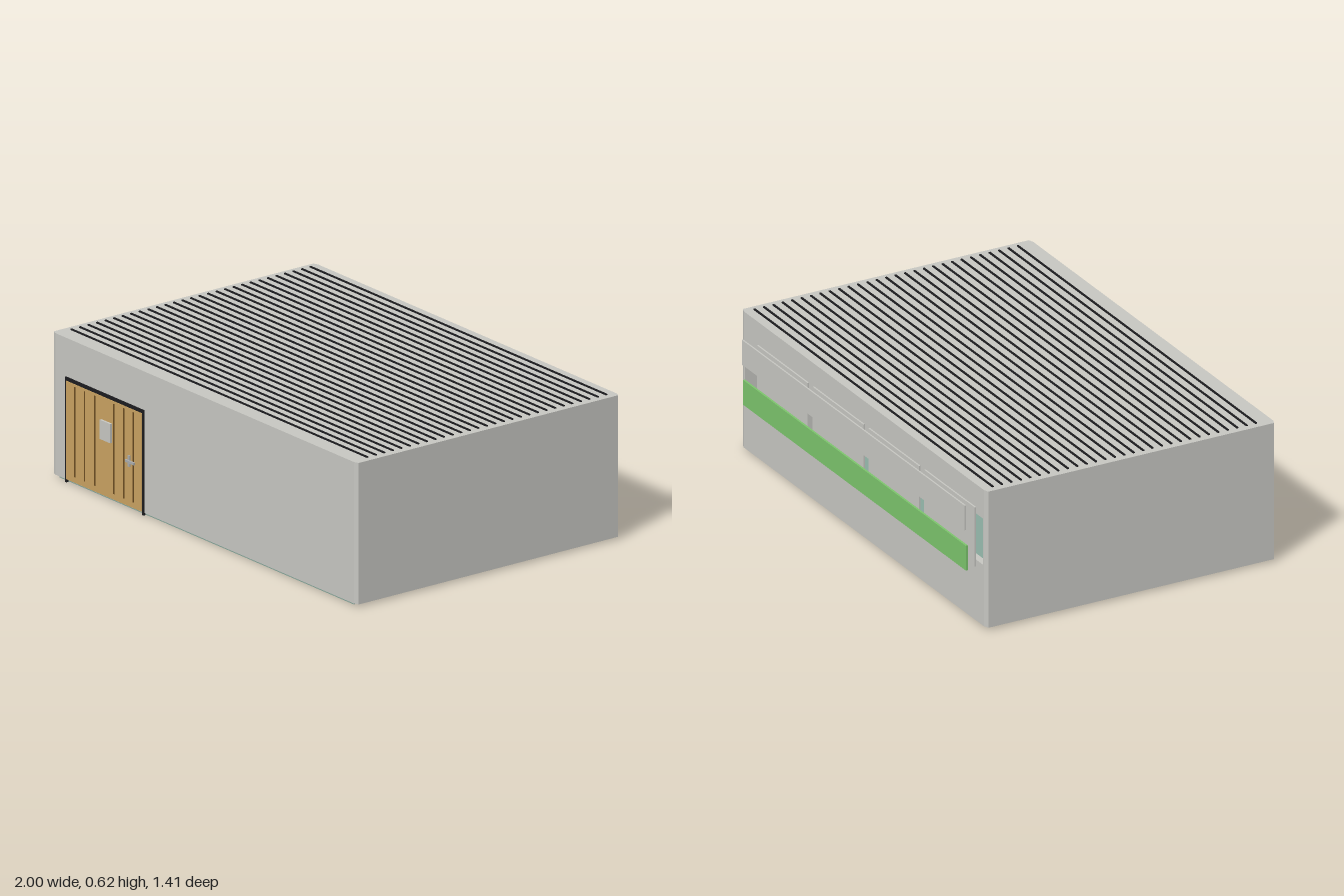
import * as THREE from 'three';

const material = (name, color) => {
  const m = new THREE.MeshStandardMaterial({ color });
  m.name = name;
  return m;
};

export function createModel() {
  const model = new THREE.Group();
  model.name = 'building';
  const wallGrey = material('wall grey', 0xc6c6c1);
  const black = material('black trim', 0x1c1c1f);
  const wood = material('door wood', 0xc8a160);
  const darkWood = material('dark wood', 0x6b4c22);
  const green = material('green', 0x7cc46c);
  const metal = material('metal grey', 0xa9abac);
  const floorGreen = material('floor green', 0x86a69a);

  const add = (name, geometry, mat, parent = model) => {
    const mesh = new THREE.Mesh(geometry, mat);
    mesh.name = name;
    parent.add(mesh);
    return mesh;
  };
  // Box given by its extents on each axis
  const box = (name, mat, [x0, x1], [y0, y1], [z0, z1], parent) => {
    const mesh = add(name, new THREE.BoxGeometry(x1 - x0, y1 - y0, z1 - z0), mat, parent);
    mesh.position.set((x0 + x1) / 2, (y0 + y1) / 2, (z0 + z1) / 2);
    return mesh;
  };

  // Plan outlines as [x, z]; outer corners are slightly chamfered
  const front = 0.685, back = -0.655, wall = 0.03, inX = 1 - wall;
  const inFront = front - wall, inBack = back + wall;
  const cx = 0.978, cz = 0.008;
  const points = (list) => list.map(([x, z]) => new THREE.Vector2(x, -z));
  const outer = [[-cx, front], [cx, front], [1, front - cz], [1, back + cz],
    [cx, back], [-cx, back], [-1, back + cz], [-1, front - cz]];
  const inner = [[-inX, inFront], [inX, inFront], [inX, inBack], [-inX, inBack]];
  const band = (name, outline, hole, y0, y1) => {
    const shape = new THREE.Shape(points(outline));
    if (hole) shape.holes.push(new THREE.Path(points(hole)));
    const geometry = new THREE.ExtrudeGeometry(shape, { depth: y1 - y0, bevelEnabled: false });
    geometry.rotateX(-Math.PI / 2).translate(0, y0, 0);
    add(name, geometry, wallGrey);
  };

  // Hollow shell with one long opening across the back
  const sill = 0.28, head = 0.485;
  const openBack = [[-cx, front], [cx, front], [1, front - cz], [1, back + cz], [cx, back], [inX, back],
    [inX, inFront], [-inX, inFront], [-inX, back], [-cx, back], [-1, back + cz], [-1, front - cz]];
  band('lowerWalls', outer, inner, 0.01, sill);
  band('middleWalls', openBack, null, sill, head);
  band('upperWalls', outer, inner, head, 0.59);
  band('roof', outer, null, 0.59, 0.615);
  box('floor', floorGreen, [-0.965, 0.965], [0, 0.02], [-0.64, 0.675]);

  // Roof ribs
  const ribs = new THREE.Group();
  ribs.name = 'roofRibs';
  model.add(ribs);
  for (let i = 0; i < 29; i++) {
    const z = -0.61 + (i * 1.22) / 28;
    box('roofRib', black, [-0.972, 0.972], [0.61, 0.62], [z - 0.004, z + 0.004], ribs);
  }

  // Window panels, with narrow gaps between them
  for (let i = 0; i < 4; i++) {
    const x = -0.917 + i * 0.454;
    box('windowPanel', wallGrey, [x, x + 0.412], [0.252, 0.515], [-0.663, -0.656]);
  }

  // Long boards standing off the back
  box('upperBoard', wallGrey, [-0.91, 0.905], [0.42, 0.53], [-0.706, -0.699]);
  box('lowerBoard', green, [-0.91, 0.905], [0.24, 0.35], [-0.7, -0.691]);

  // Door, passing through the wall
  const door = new THREE.Group();
  door.name = 'door';
  model.add(door);
  box('doorLeaf', wood, [-0.9, -0.405], [0.015, 0.435], [0.645, 0.693], door);
  box('frameTop', black, [-0.91, -0.395], [0.435, 0.45], [0.68, 0.69], door);
  for (const x of [-0.91, -0.405]) {
    box('frameSide', black, [x, x + 0.01], [0, 0.436], [0.68, 0.69], door);
  }
  for (const x of [-0.84, -0.776, -0.71, -0.584, -0.52, -0.457]) {
    box('plankGroove', darkWood, [x - 0.003, x + 0.003], [0.04, 0.425], [0.69, 0.695], door);
  }
  box('doorWindow', wallGrey, [-0.665, -0.597], [0.255, 0.337], [0.692, 0.703], door);
  box('handlePlate', metal, [-0.489, -0.477], [0.186, 0.234], [0.692, 0.698], door);
  box('handleLever', metal, [-0.498, -0.44], [0.205, 0.215], [0.697, 0.705], door);

  return model;
}
